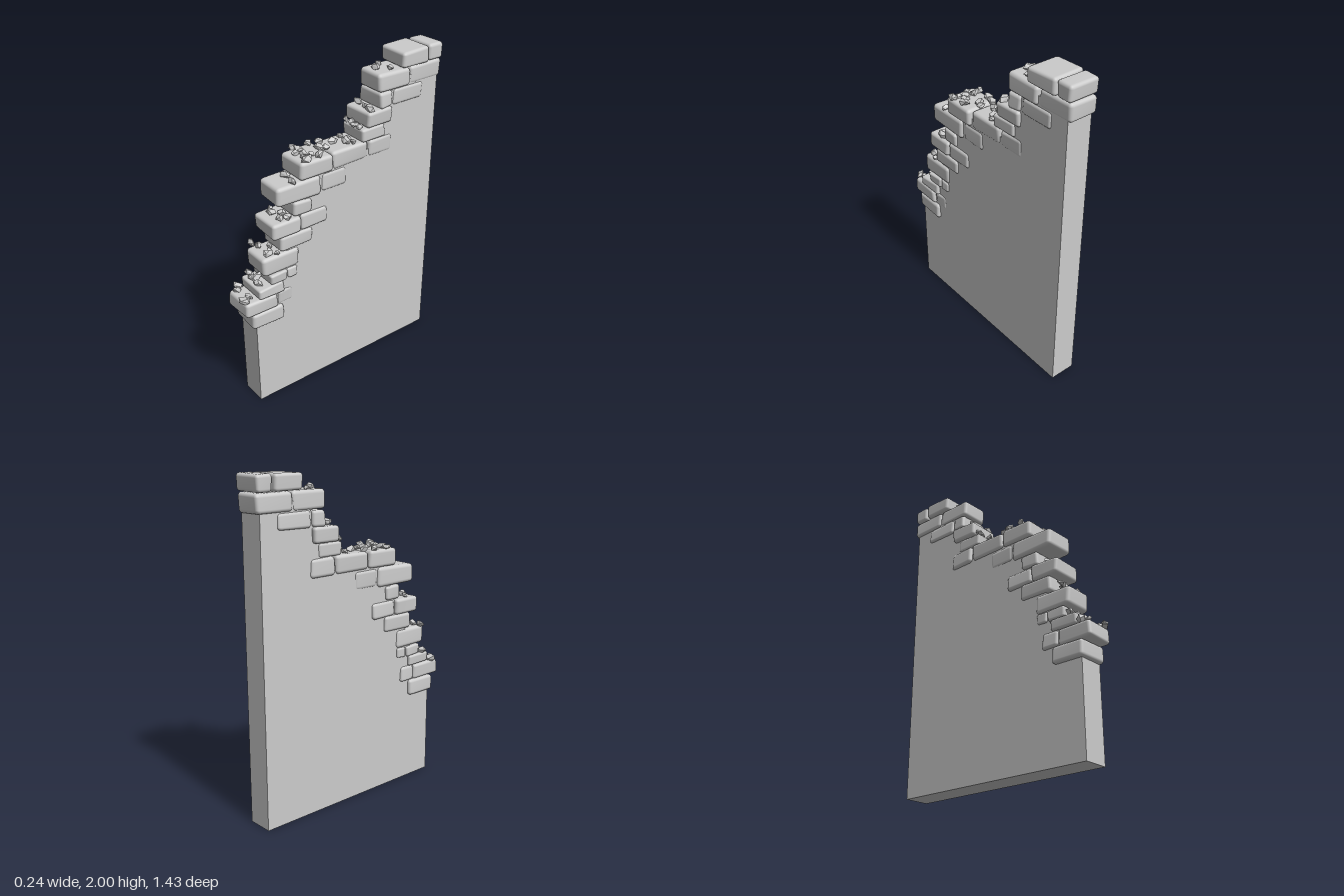
import * as THREE from 'three';
import { RoundedBoxGeometry } from 'three/addons/geometries/RoundedBoxGeometry.js';
import { ConvexGeometry } from 'three/addons/geometries/ConvexGeometry.js';
import { mergeVertices } from 'three/addons/utils/BufferGeometryUtils.js';

let seed = 11;
const rand = (a = 0, b = 1) => {
  seed = (seed * 16807) % 2147483647;
  return a + (b - a) * (seed / 2147483647);
};

// Courses from bottom to top: [yMin, yMax, half width, z joints from front to back]
const courses = [
  [0.555, 0.66, 0.105, [0.655, 0.44]],
  [0.655, 0.755, 0.105, [0.705, 0.483, 0.37]],
  [0.752, 0.822, 0.107, [0.615, 0.435]],
  [0.818, 0.887, 0.103, [0.53, 0.41, 0.335]],
  [0.885, 1.007, 0.1, [0.57, 0.325]],
  [1.007, 1.107, 0.102, [0.45, 0.223]],
  [1.103, 1.207, 0.11, [0.5, 0.308, 0.118]],
  [1.205, 1.297, 0.1, [0.355, 0.23]],
  [1.297, 1.418, 0.104, [0.46, 0.16, -0.02]],
  [1.415, 1.527, 0.108, [0.305, 0.085, -0.173, -0.355]],
  [1.525, 1.607, 0.1, [-0.12, -0.295]],
  [1.605, 1.7, 0.112, [-0.15, -0.34]],
  [1.695, 1.793, 0.105, [-0.245, -0.345, -0.575]],
  [1.79, 1.902, 0.1, [-0.235, -0.47, -0.713]],
  [1.9, 2.0, 0.108, [-0.4, -0.602, -0.71]],
];

// Rubble by ledge: height, then [x, z] of each stone
const ledges = [
  [0.755, [[-0.09, 0.64], [-0.06, 0.665], [0.05, 0.665], [0.035, 0.645], [0.06, 0.69]]],
  [0.82, [[-0.08, 0.565], [-0.035, 0.58], [0.04, 0.58], [-0.02, 0.55]]],
  [1.005, [[-0.095, 0.53], [-0.05, 0.51], [0.03, 0.49], [0.055, 0.515], [0.08, 0.47], [-0.01, 0.46]]],
  [1.205, [[-0.07, 0.41], [-0.025, 0.43], [0.05, 0.425], [0.075, 0.39], [0.01, 0.385]]],
  [1.415, [[-0.015, 0.335], [0.07, 0.345]]],
  [1.525, [[-0.05, -0.07], [0.01, -0.08], [0.06, -0.08], [0.03, -0.055], [-0.02, 0],
    [-0.06, 0.075], [0.015, 0.08], [-0.08, 0.13], [0, 0.115], [0.07, 0.165], [0.04, 0.2],
    [-0.09, 0.23], [-0.045, 0.22], [0.01, 0.23], [-0.02, 0.26], [0.085, 0.255], [0.05, 0.25]]],
  [1.605, [[-0.07, -0.13], [-0.03, -0.14], [0.06, -0.13], [0.02, -0.125]]],
  [1.7, [[-0.05, -0.205], [0.02, -0.2], [0.07, -0.19]]],
  [1.9, [[-0.05, -0.345], [0.05, -0.35], [-0.005, -0.29]]],
];

// Worn block: a rounded box whose eight corners are pulled in a little
function brickGeometry(w, h, d) {
  const geo = new RoundedBoxGeometry(w, h, d, 3, Math.min(h, d) * 0.2);
  geo.deleteAttribute('normal');
  geo.deleteAttribute('uv');
  const corners = Array.from({ length: 8 }, () => [rand(0, 0.014), rand(0, 0.008), rand(0, 0.012)]);
  const pos = geo.attributes.position;
  const size = [w, h, d];
  for (let i = 0; i < pos.count; i++) {
    const p = [pos.getX(i), pos.getY(i), pos.getZ(i)];
    const t = p.map((v, k) => v / size[k] + 0.5);
    const pull = [0, 0, 0];
    corners.forEach((c, n) => {
      const weight = t.reduce((m, v, k) => m * ((n >> k) & 1 ? v : 1 - v), 1);
      c.forEach((v, k) => { pull[k] += v * weight; });
    });
    const q = p.map((v, k) => v - (2 * t[k] - 1) * pull[k]);
    pos.setXYZ(i, q[0], q[1], q[2]);
  }
  const merged = mergeVertices(geo, 1e-5);
  merged.computeVertexNormals();
  return merged;
}

// Angular stone chip: hull of points scattered round an ellipsoid
function stoneGeometry(r) {
  const points = [];
  for (let i = 0; i < 10; i++) {
    const y = 1 - (2 * (i + 0.5)) / 10;
    const a = i * 2.4 + rand(-0.5, 0.5);
    const s = Math.sqrt(1 - y * y);
    const k = r * rand(0.75, 1.1);
    points.push(new THREE.Vector3(Math.cos(a) * s * k * 0.75, y * k * 0.7, Math.sin(a) * s * k * 1.1));
  }
  return new ConvexGeometry(points);
}

export function createModel() {
  const model = new THREE.Group();
  model.name = 'ruinedWall';
  const smooth = new THREE.MeshStandardMaterial({ color: 0xcccccc });
  const faceted = new THREE.MeshStandardMaterial({ color: 0xcccccc, flatShading: true });

  // Plain wall slab, its broken edge hidden inside the bricks
  const outline = [[0.63, 0], [0.63, 0.6], [0.5, 0.7], [0.47, 0.8], [0.45, 0.95], [0.37, 1.05],
    [0.33, 1.15], [0.29, 1.25], [0.25, 1.36], [0.15, 1.47], [-0.2, 1.47], [-0.23, 1.65],
    [-0.31, 1.75], [-0.4, 1.85], [-0.685, 1.85], [-0.685, 0]];
  const shape = new THREE.Shape(outline.map(([z, y]) => new THREE.Vector2(-z, y)));
  const slabGeo = new THREE.ExtrudeGeometry(shape, { depth: 0.16, bevelEnabled: false });
  slabGeo.translate(0, 0, -0.08).rotateY(Math.PI / 2);
  const slab = new THREE.Mesh(slabGeo, faceted);
  slab.name = 'wallSlab';
  model.add(slab);

  // Stepped brick edging
  const bricks = new THREE.Group();
  bricks.name = 'bricks';
  for (const [y0, y1, half, joints] of courses) {
    for (let i = 0; i < joints.length - 1; i++) {
      const [z0, z1] = [joints[i], joints[i + 1]];
      const width = 2 * half - (i ? rand(0.004, 0.02) : 0);
      const brick = new THREE.Mesh(brickGeometry(width, y1 - y0 + 0.004, z0 - z1 + 0.006), smooth);
      brick.position.set(rand(-0.004, 0.004), (y0 + y1) / 2, (z0 + z1) / 2);
      brick.name = 'brick';
      bricks.add(brick);
    }
  }
  model.add(bricks);

  // Loose rubble lying on the ledges
  const rubble = new THREE.Group();
  rubble.name = 'rubble';
  for (const [y, spots] of ledges) {
    for (const [x, z] of spots) {
      const r = rand(0.024, 0.038);
      const stone = new THREE.Mesh(stoneGeometry(r), faceted);
      stone.position.set(x, y + r * 0.4, z);
      stone.rotation.set(rand(-0.5, 0.5), rand(0, 6.28), rand(-0.5, 0.5));
      stone.name = 'stone';
      rubble.add(stone);
    }
  }
  model.add(rubble);
  return model;
}
